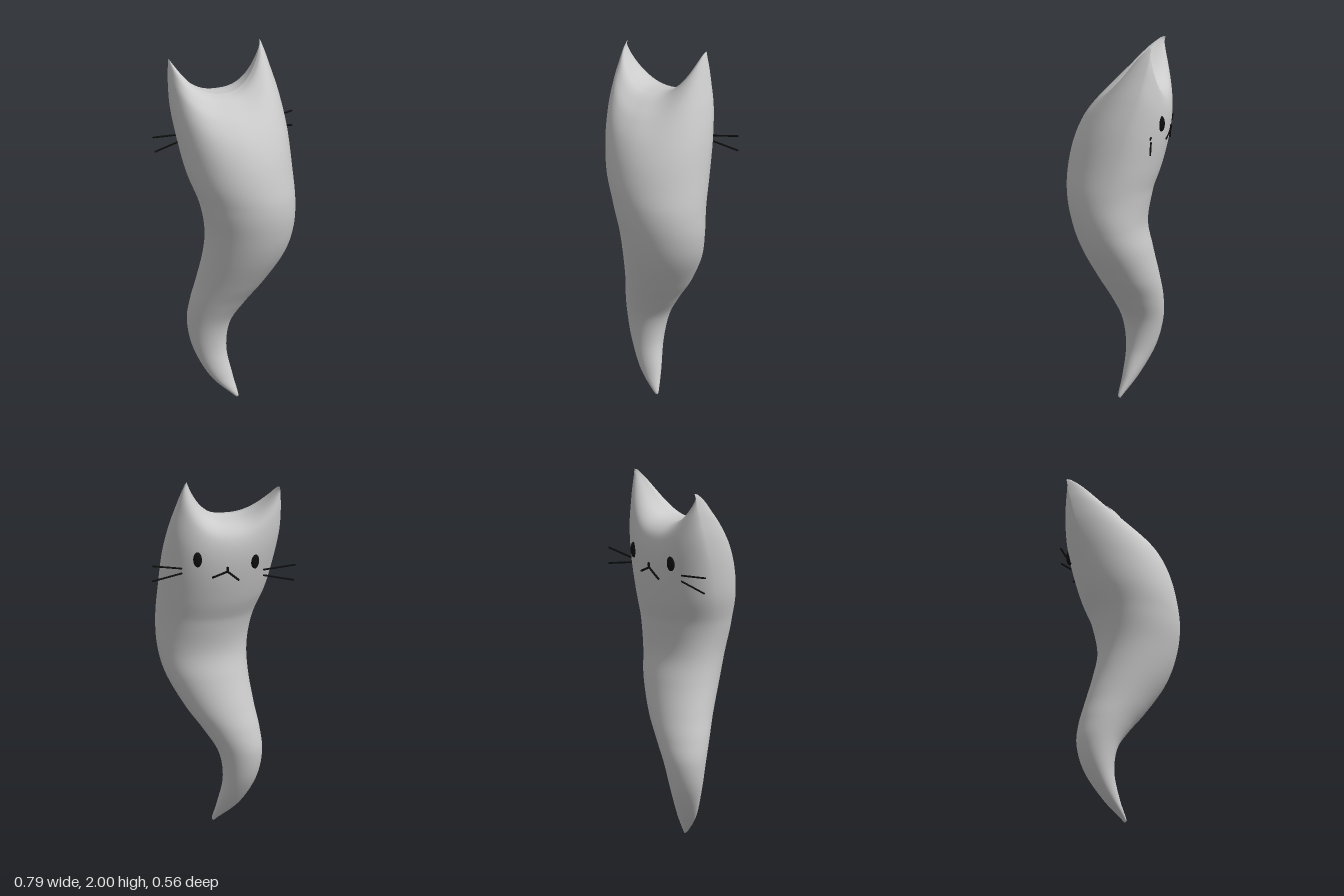
import * as THREE from 'three';
import { mergeVertices } from 'three/addons/utils/BufferGeometryUtils.js';

const V = (x, y, z) => new THREE.Vector3(x, y, z);

// Body sections: level, right edge x, left edge x, z of the side edges, z of the face, z of the back
const SECTIONS = [
  [0.00, 0.015, 0.015, 0.00, 0.00, 0.00],
  [0.02, -0.01, 0.022, 0.00, -0.015, 0.012],
  [0.12, -0.12, 0.003, -0.045, -0.092, -0.003],
  [0.27, -0.20, -0.02, -0.09, -0.175, -0.015],
  [0.42, -0.23, 0.005, -0.105, -0.215, 0.005],
  [0.55, -0.22, 0.085, -0.08, -0.222, 0.055],
  [0.68, -0.195, 0.18, -0.05, -0.21, 0.12],
  [0.85, -0.172, 0.275, 0.00, -0.182, 0.20],
  [1.00, -0.17, 0.315, 0.03, -0.157, 0.25],
  [1.16, -0.20, 0.322, 0.04, -0.18, 0.28],
  [1.35, -0.262, 0.316, -0.01, -0.225, 0.278],
  [1.55, -0.30, 0.305, -0.07, -0.258, 0.25],
  [1.72, -0.32, 0.28, -0.13, -0.272, 0.20],
  [1.85, -0.322, 0.247, -0.165, -0.265, 0.13],
  [1.93, -0.318, 0.225, -0.185, -0.235, 0.06],
  [1.98, -0.314, 0.208, -0.195, -0.17, 0.00],
  [2.00, -0.31, 0.20, -0.20, -0.06, -0.06],
];

// Height of the top seam: a valley rising to an ear at each end
const seamHeight = (c) => 1.76 + (c > 0 ? 0.24 * c ** 2.8 : 0.18 * (-c) ** 2.2);

// One smooth skin, closed at the top along the seam between the ears
function bodyGeometry(rings = 160, sides = 96) {
  const spline = (a) => new THREE.CatmullRomCurve3(
    SECTIONS.map((s) => V(s[a], s[a + 1], s[a + 2])), false, 'catmullrom', 0.5);
  const outline = spline(0), depth = spline(3);
  const stretchFrom = 1.2;
  const pos = [], index = [];
  for (let i = 0; i <= rings; i++) {
    const { x: level, y: xRight, z: xLeft } = outline.getPoint(i / rings);
    const { x: zEdge, y: zFace, z: zBack } = depth.getPoint(i / rings);
    for (let j = 0; j < sides; j++) {
      const a = (j / sides) * Math.PI * 2;
      const c = Math.cos(a), s = Math.sin(a);
      const k = (seamHeight(c) - stretchFrom) / (2 - stretchFrom);
      const y = level < stretchFrom ? level : stretchFrom + (level - stretchFrom) * k;
      const x = (xLeft + xRight) / 2 + c * (xLeft - xRight) / 2;
      pos.push(x, y, zEdge + Math.abs(s) * ((s > 0 ? zBack : zFace) - zEdge));
      if (i === rings) continue;
      const p = i * sides + j, q = i * sides + (j + 1) % sides;
      index.push(p, p + sides, q, q, p + sides, q + sides);
    }
  }
  const geo = new THREE.BufferGeometry();
  geo.setAttribute('position', new THREE.Float32BufferAttribute(pos, 3));
  geo.setIndex(index);
  const merged = mergeVertices(geo, 1e-5);
  merged.computeVertexNormals();
  return merged;
}

export function createModel() {
  const model = new THREE.Group();
  const grey = new THREE.MeshStandardMaterial({ color: 0xcccccc });
  const black = new THREE.MeshStandardMaterial({ color: 0x0d0d0d });

  const add = (name, geo, mat) => {
    const mesh = new THREE.Mesh(geo, mat);
    mesh.name = name;
    model.add(mesh);
    return mesh;
  };
  // Thin straight rod between two points
  const rod = (name, a, b, r) => {
    const mesh = add(name, new THREE.CapsuleGeometry(r, a.distanceTo(b), 4, 10), black);
    mesh.position.copy(a).lerp(b, 0.5);
    mesh.quaternion.setFromUnitVectors(V(0, 1, 0), b.clone().sub(a).normalize());
  };

  add('body', bodyGeometry(), grey);

  // Eyes: flattened ovals lying on the face
  for (const [name, x, y, yaw] of [['leftEye', 0.15, 1.57, -0.35], ['rightEye', -0.165, 1.543, 0.35]]) {
    const eye = add(name, new THREE.SphereGeometry(1, 24, 16), black);
    eye.scale.set(0.024, 0.043, 0.017);
    eye.position.set(x, y, -0.245);
    eye.rotation.y = yaw;
  }

  // Nose and mouth: three strokes from one point
  const lip = V(-0.01, 1.5, -0.269);
  rod('nose', V(-0.01, 1.522, -0.273), lip, 0.007);
  rod('leftMouth', lip, V(0.068, 1.468, -0.258), 0.006);
  rod('rightMouth', lip, V(-0.073, 1.445, -0.257), 0.006);

  // Whiskers: two on each cheek
  rod('leftUpperWhisker', V(0.23, 1.51, -0.2), V(0.39, 1.54, -0.22), 0.005);
  rod('leftLowerWhisker', V(0.23, 1.482, -0.2), V(0.39, 1.455, -0.22), 0.005);
  rod('rightUpperWhisker', V(-0.22, 1.48, -0.215), V(-0.395, 1.49, -0.195), 0.005);
  rod('rightLowerWhisker', V(-0.22, 1.448, -0.215), V(-0.385, 1.405, -0.195), 0.005);

  return model;
}
